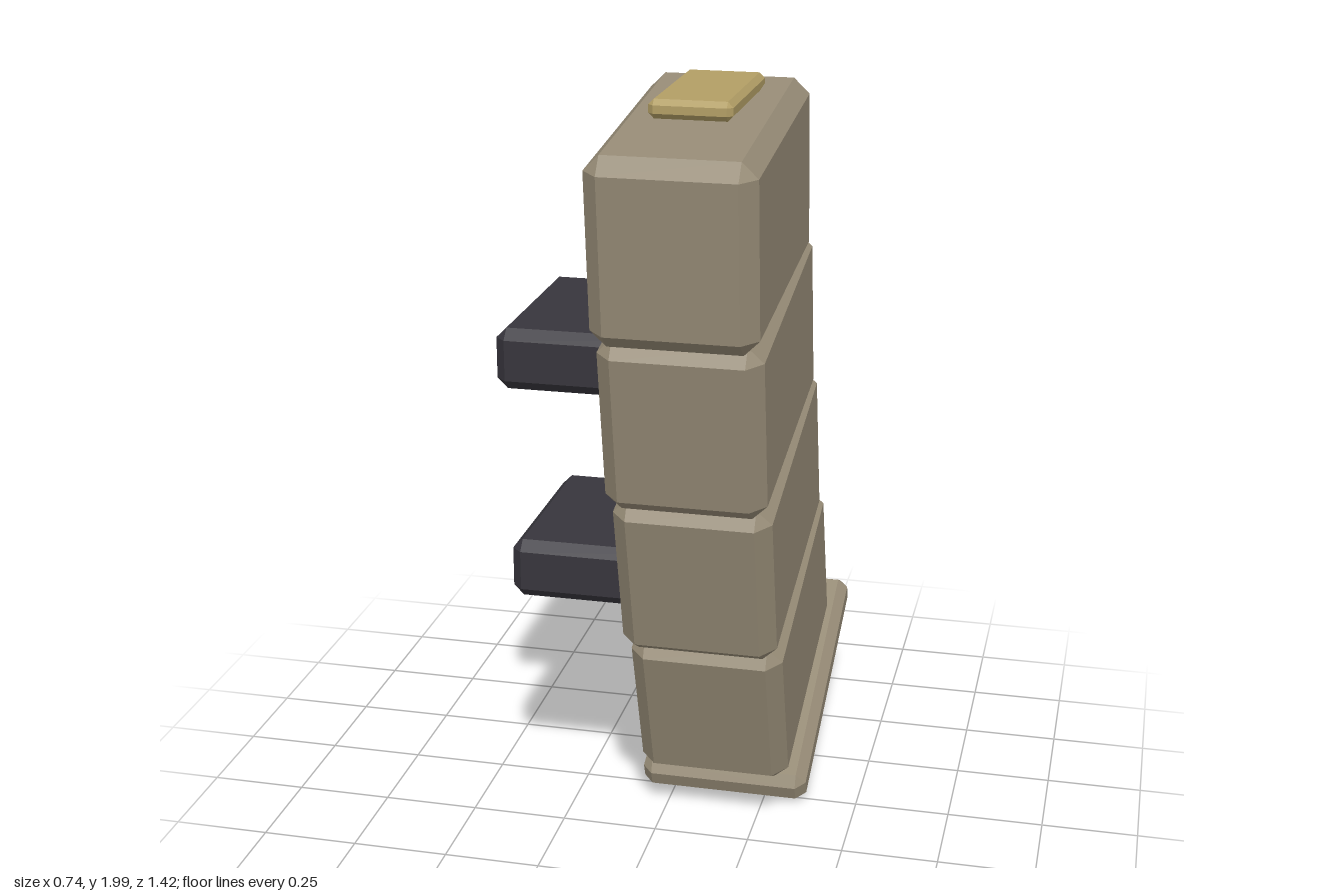
import * as THREE from 'three';
import { ConvexGeometry } from 'three/addons/geometries/ConvexGeometry.js';

const stone = new THREE.MeshStandardMaterial({ color: 0x968b76 });
stone.name = 'taupe';
const dark = new THREE.MeshStandardMaterial({ color: 0x37353c });
dark.name = 'charcoal';
const gold = new THREE.MeshStandardMaterial({ color: 0xb29e65 });
gold.name = 'gold';
const knobTan = new THREE.MeshStandardMaterial({ color: 0xa3957e });
knobTan.name = 'tan';

// Box with every edge cut by a flat chamfer c
function chamferBox(w, h, d, c) {
  const points = [];
  for (const sx of [-1, 1]) for (const sy of [-1, 1]) for (const sz of [-1, 1]) {
    const x = w / 2, y = h / 2, z = d / 2;
    points.push(
      new THREE.Vector3(sx * x, sy * (y - c), sz * (z - c)),
      new THREE.Vector3(sx * (x - c), sy * y, sz * (z - c)),
      new THREE.Vector3(sx * (x - c), sy * (y - c), sz * z));
  }
  return new ConvexGeometry(points);
}

function add(parent, name, geometry, material, x, y, z, tiltDegrees = 0) {
  const mesh = new THREE.Mesh(geometry, material);
  mesh.name = name;
  mesh.position.set(x, y, z);
  mesh.rotation.x = THREE.MathUtils.degToRad(tiltDegrees);
  parent.add(mesh);
  return mesh;
}

export function createModel() {
  const model = new THREE.Group();
  model.name = 'leaningStack';
  const cx = 0.14;

  // Tilted base plate
  add(model, 'basePlate', chamferBox(0.45, 0.092, 0.8, 0.026), stone, cx, 0.19, -0.331, 22);

  // Four stacked blocks, each leaning a little less than the one below
  const block = chamferBox(0.394, 0.454, 0.72, 0.038);
  [[0.456, -0.103], [0.876, 0.08], [1.298, 0.222], [1.721, 0.33]].forEach(([y, z], i) =>
    add(model, 'block' + (i + 1), block, stone, cx, y, z, 18 - 4 * i));

  // Level cap on top
  add(model, 'topCap', chamferBox(0.196, 0.045, 0.4, 0.013), gold, cx, 1.9775, 0.277);

  // Side brackets, each with a round knob on top
  const bracket = chamferBox(0.57, 0.155, 0.523, 0.026);
  const knob = new THREE.CylinderGeometry(0.053, 0.053, 0.05, 32);
  [['lower', 0.7325, 0.02], ['upper', 1.3235, 0.109]].forEach(([level, y, z]) => {
    add(model, level + 'Bracket', bracket, dark, -0.085, y, z);
    add(model, level + 'Knob', knob, knobTan, -0.085, y + 0.083, z);
  });

  return model;
}
